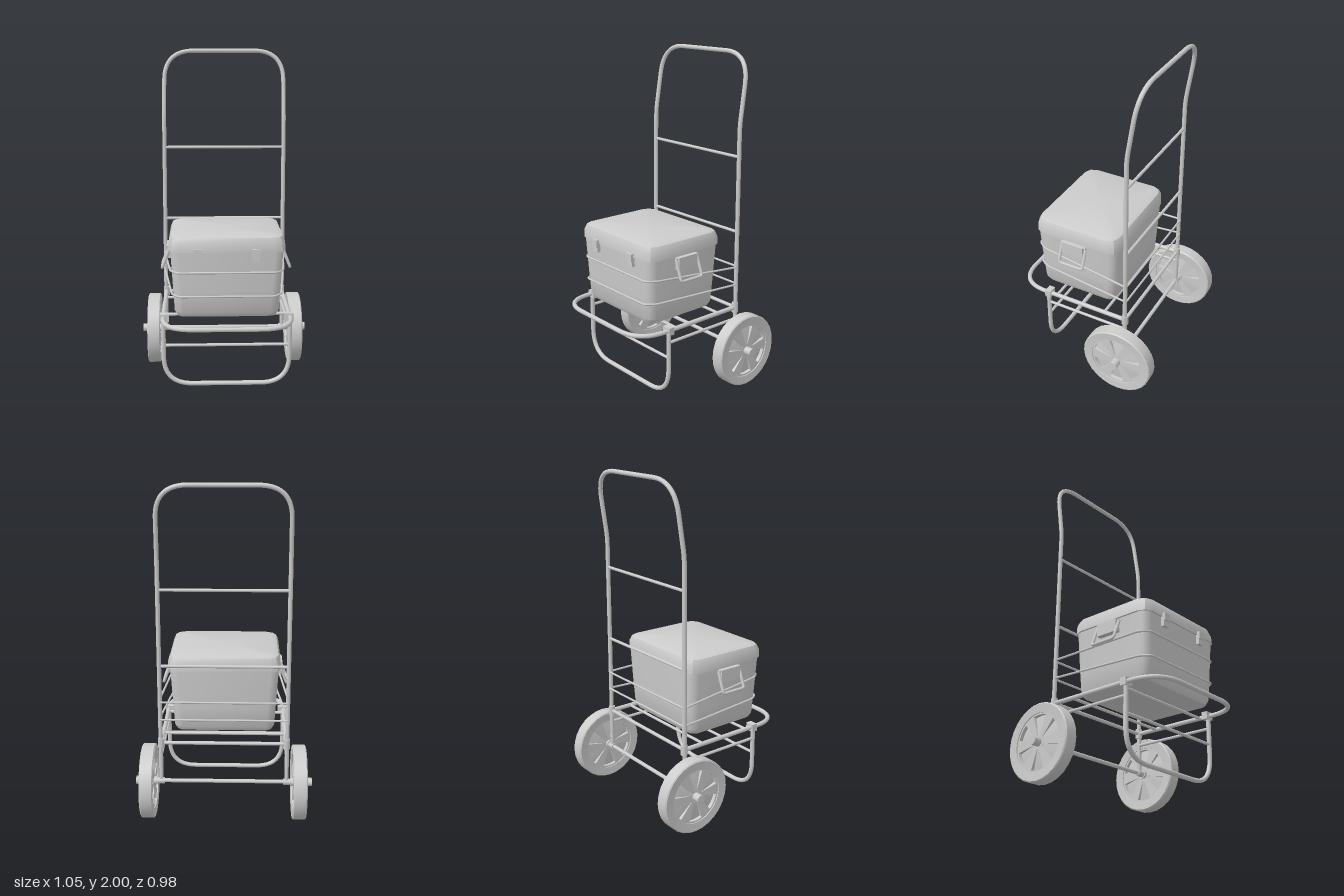
import * as THREE from 'three';
import { toCreasedNormals } from 'three/addons/utils/BufferGeometryUtils.js';

const grey = new THREE.MeshStandardMaterial({ color: 0xcccccc });
const V = (x, y, z) => new THREE.Vector3(x, y, z);

function add(parent, name, geometry, x = 0, y = 0, z = 0) {
  const mesh = new THREE.Mesh(geometry, grey);
  mesh.name = name;
  mesh.position.set(x, y, z);
  parent.add(mesh);
  return mesh;
}

// Tube through corner points, each inner corner rounded by its fillet length
function pipe(points, fillets, radius, segments = 90, sides = 10) {
  const path = new THREE.CurvePath();
  let from = points[0];
  for (let i = 1; i < points.length - 1; i++) {
    const p = points[i], f = fillets[i - 1];
    const a = p.clone().add(points[i - 1].clone().sub(p).setLength(f));
    const b = p.clone().add(points[i + 1].clone().sub(p).setLength(f));
    path.add(new THREE.LineCurve3(from, a));
    path.add(new THREE.QuadraticBezierCurve3(a, p, b));
    from = b;
  }
  path.add(new THREE.LineCurve3(from, points[points.length - 1]));
  return new THREE.TubeGeometry(path, segments, radius, sides);
}

// Straight round bar between two points
function bar(parent, name, a, b, radius, sides = 10) {
  const mesh = add(parent, name, new THREE.CylinderGeometry(radius, radius, a.distanceTo(b), sides));
  mesh.position.copy(a).add(b).multiplyScalar(0.5);
  mesh.quaternion.setFromUnitVectors(V(0, 1, 0), b.clone().sub(a).normalize());
  return mesh;
}

// Solid skinned over rounded rectangles: levels of [y, halfX, halfZ, cornerRadius]
function loft(levels, steps = 3) {
  const pos = [], index = [], n = 4 * (steps + 1);
  for (const [y, hx, hz, r] of levels) {
    for (let c = 0; c < 4; c++) {
      const sx = c === 0 || c === 3 ? 1 : -1, sz = c < 2 ? 1 : -1;
      for (let s = 0; s <= steps; s++) {
        const a = (c + s / steps) * Math.PI / 2;
        pos.push(sx * (hx - r) + r * Math.cos(a), y, sz * (hz - r) + r * Math.sin(a));
      }
    }
  }
  const last = (levels.length - 1) * n, bottom = levels.length * n, top = bottom + 1;
  pos.push(0, levels[0][0], 0, 0, levels[levels.length - 1][0], 0);
  for (let j = 0; j < n; j++) {
    const k = (j + 1) % n;
    for (let o = 0; o < last; o += n) index.push(o + j, o + n + j, o + k, o + k, o + n + j, o + n + k);
    index.push(bottom, j, k, top, last + k, last + j);
  }
  const g = new THREE.BufferGeometry();
  g.setAttribute('position', new THREE.Float32BufferAttribute(pos, 3));
  g.setIndex(index);
  return toCreasedNormals(g, 0.6);
}

// Wheel lying along x, centred on its own origin
function makeWheel() {
  const wheel = new THREE.Group();
  const tyre = new THREE.LatheGeometry([
    [0.166, -0.036], [0.215, -0.04], [0.222, -0.034], [0.222, 0.034], [0.215, 0.04], [0.166, 0.036], [0.166, -0.036],
  ].map(([r, y]) => new THREE.Vector2(r, y)), 28);
  add(wheel, 'tyre', toCreasedNormals(tyre, 0.5)).rotation.z = -Math.PI / 2;

  // Spoked disc with wedge openings over a thin web
  const disc = new THREE.Shape().absarc(0, 0, 0.17, 0, Math.PI * 2);
  for (let i = 0; i < 6; i++) {
    const a = Math.PI / 2 + i * Math.PI / 3, hole = new THREE.Path();
    hole.absarc(0, 0, 0.155, a - 0.3, a + 0.3, false);
    hole.lineTo(0.04 * Math.cos(a + 0.2), 0.04 * Math.sin(a + 0.2));
    hole.lineTo(0.04 * Math.cos(a - 0.2), 0.04 * Math.sin(a - 0.2));
    hole.closePath();
    disc.holes.push(hole);
  }
  const spokes = new THREE.ExtrudeGeometry(disc, { depth: 0.06, bevelEnabled: false, curveSegments: 28 });
  spokes.translate(0, 0, -0.03);
  add(wheel, 'spokes', spokes).rotation.y = Math.PI / 2;
  const web = new THREE.LatheGeometry([
    [0, -0.028], [0.04, -0.028], [0.16, -0.008], [0.16, 0.008], [0.04, 0.028], [0, 0.028],
  ].map(([r, y]) => new THREE.Vector2(r, y)), 28);
  add(wheel, 'web', toCreasedNormals(web, 0.5)).rotation.z = -Math.PI / 2;
  return wheel;
}

function makeFrame() {
  const frame = new THREE.Group();
  frame.name = 'frame';
  const X = 0.37, B = -0.27, D = 0.47;

  // Three bent tubes: tall back handle, flat platform, front leg
  add(frame, 'backHandle', pipe([
    V(-X - 0.004, 0.22, B), V(-X, 1.58, B), V(-X + 0.005, 1.987, -0.332),
    V(X - 0.005, 1.987, -0.332), V(X, 1.58, B), V(X + 0.004, 0.22, B),
  ], [0.05, 0.18, 0.18, 0.05], 0.013, 200));
  add(frame, 'platformLoop', pipe([
    V(-X, D, B), V(-X, D, 0.475), V(X, D, 0.475), V(X, D, B),
  ], [0.19, 0.19], 0.0135));
  add(frame, 'frontLeg', pipe([
    V(-X, D, 0.26), V(-X, 0.06, 0.26), V(X, 0.06, 0.26), V(X, D, 0.26),
  ], [0.17, 0.17], 0.0135));

  // Cross bars as [name, y, z, radius]
  for (const [name, y, z, r] of [
    ['upperBackBar', 1.4, B, 0.009], ['lowerBackBar', 0.95, B, 0.009],
    ['rearPlatformBar', D, -0.13, 0.009], ['frontPlatformBar', D, 0.2, 0.009],
    ['legBar', 0.3, 0.26, 0.009], ['backPlatformBar', D, B, 0.011],
  ]) bar(frame, name, V(-X, y, z), V(X, y, z), r);

  for (const s of [-1, 1]) {
    bar(frame, 'sideBrace', V(s * X, 0.395, 0.26), V(s * X, 0.395, B), 0.009);
    add(frame, 'frontClamp', new THREE.BoxGeometry(0.055, 0.045, 0.038), s * 0.364, D, 0.255);
    add(frame, 'rearSleeve', new THREE.CylinderGeometry(0.02, 0.02, 0.06, 10), s * X, D, B);
  }
  return frame;
}

function makeCooler() {
  const cooler = new THREE.Group();
  cooler.name = 'cooler';
  cooler.position.z = 0.09;
  add(cooler, 'coolerBody', loft([
    [0.488, 0.265, 0.21, 0.04], [0.497, 0.287, 0.232, 0.045], [0.525, 0.301, 0.248, 0.05],
    [0.65, 0.308, 0.256, 0.05], [0.89, 0.322, 0.266, 0.05],
  ]));
  add(cooler, 'coolerLid', loft([
    [0.885, 0.333, 0.276, 0.065], [0.935, 0.331, 0.274, 0.065],
    [0.966, 0.318, 0.261, 0.06], [0.977, 0.29, 0.235, 0.05],
  ], 2));

  // Front latches: hook plate over a small lower catch
  for (const s of [-1, 1]) {
    add(cooler, 'latch', new THREE.BoxGeometry(0.046, 0.045, 0.026), s * 0.163, 0.883, 0.28);
    add(cooler, 'latchCatch', new THREE.BoxGeometry(0.042, 0.035, 0.022), s * 0.163, 0.846, 0.274);
  }

  // Side carry handles: mount plate with a swung-out bail
  for (const s of [-1, 1]) {
    add(cooler, 'handleMount', new THREE.BoxGeometry(0.04, 0.075, 0.14), s * 0.329, 0.84, 0.005);
    const bail = [V(s * 0.328, 0.868, -0.076), V(s * 0.376, 0.745, -0.076),
      V(s * 0.376, 0.745, 0.082), V(s * 0.328, 0.868, 0.082)];
    add(cooler, 'handleBail', pipe(bail, [0.015, 0.015], 0.009, 50, 8));
    bar(cooler, 'handlePivot', bail[0], bail[3], 0.01, 8);
  }
  return cooler;
}

// Cord tied to the uprights and looped round the cooler
function makeCord(group, name, frontY, backY, halfX) {
  const z = -0.28, c = halfX - 0.04;
  add(group, name, pipe([
    V(0, backY, z), V(-0.38, backY, z), V(-halfX, frontY, 0.3), V(-c, frontY, 0.358),
    V(c, frontY, 0.358), V(halfX, frontY, 0.3), V(0.38, backY, z), V(0, backY, z),
  ], [0.012, 0.02, 0.02, 0.02, 0.02, 0.012], 0.0065, 160, 7));
}

export function createModel() {
  const model = new THREE.Group();
  model.name = 'coolerTrolley';
  model.add(makeFrame(), makeCooler());
  makeCord(model, 'upperCord', 0.765, 0.73, 0.323);
  makeCord(model, 'lowerCord', 0.625, 0.62, 0.315);

  // Axle with a wheel, hub and collar on each side
  bar(model, 'axle', V(-0.4, 0.222, -0.27), V(0.4, 0.222, -0.27), 0.012);
  for (const s of [-1, 1]) {
    const wheel = makeWheel();
    wheel.name = s > 0 ? 'leftWheel' : 'rightWheel';
    wheel.position.set(s * 0.447, 0.222, -0.27);
    model.add(wheel);
    bar(model, 'hub', V(s * 0.4, 0.222, -0.27), V(s * 0.525, 0.222, -0.27), 0.025, 12);
    bar(model, 'collar', V(s * 0.355, 0.222, -0.27), V(s * 0.402, 0.222, -0.27), 0.019);
  }
  return model;
}
